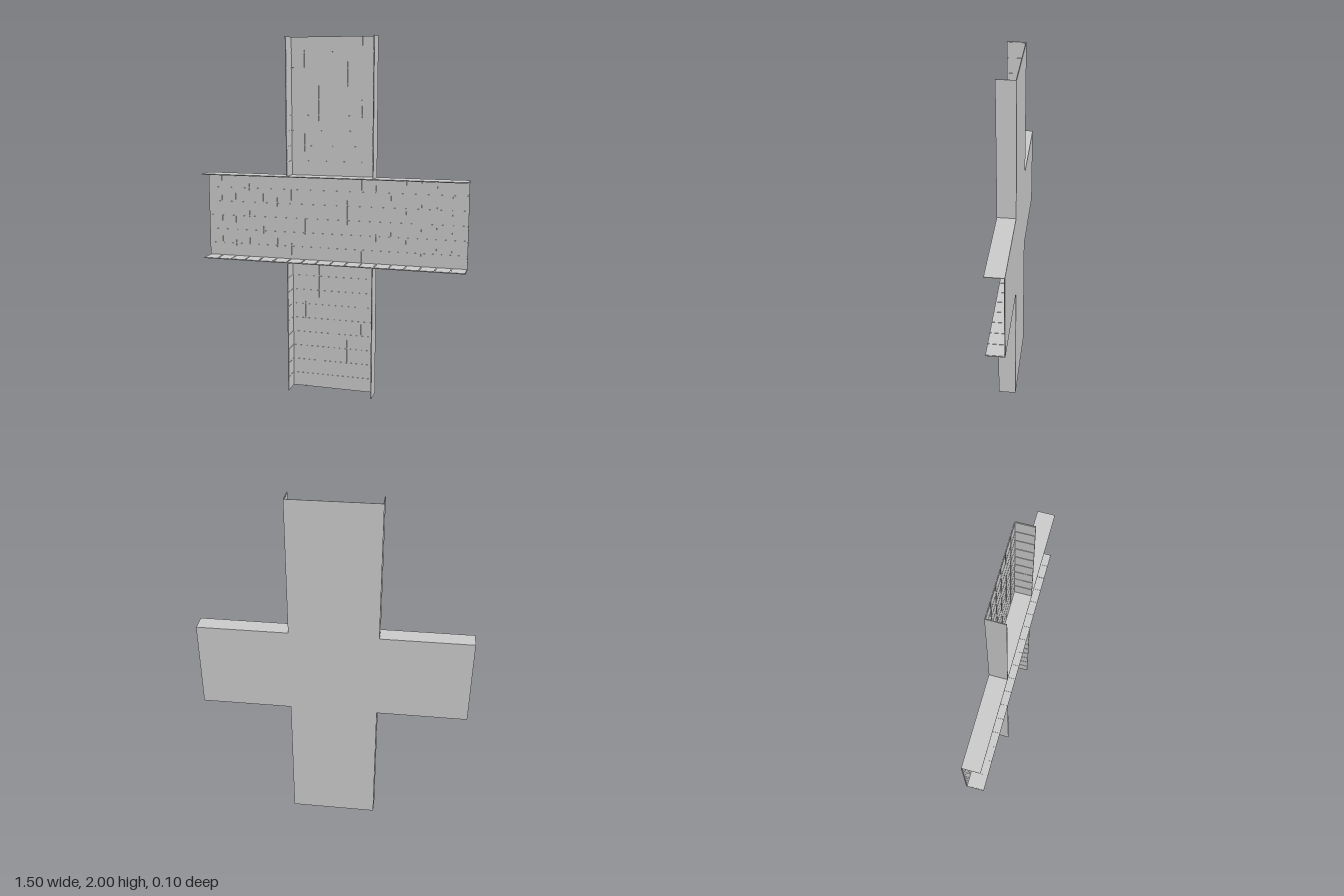
import * as THREE from 'three';
import { mergeGeometries } from 'three/addons/utils/BufferGeometryUtils.js';

const HALF = 0.245;   // half width of each arm
const BACK = -0.05, FRONT = 0.05;
const SHEET = 0.003, TILE = 0.002, GAP = 0.006;

export function createModel() {
  const group = new THREE.Group();
  const material = new THREE.MeshStandardMaterial({ color: 0xcccccc });

  // Box geometry from its minimum and maximum corners
  const block = (x0, y0, z0, x1, y1, z1) =>
    new THREE.BoxGeometry(x1 - x0, y1 - y0, z1 - z0)
      .translate((x0 + x1) / 2, (y0 + y1) / 2, (z0 + z1) / 2);
  const add = (name, geometry) => {
    const mesh = new THREE.Mesh(geometry, material);
    mesh.name = name;
    group.add(mesh);
  };

  // Grid of thin tiles on the front of the back plate
  const z0 = BACK + SHEET, z1 = z0 + TILE, g = GAP / 2;
  const tileGrid = (x0, x1, nx, y0, y1, ny) => {
    const tiles = [], w = (x1 - x0) / nx, h = (y1 - y0) / ny;
    for (let i = 0; i < nx; i++) for (let j = 0; j < ny; j++) {
      const x = x0 + i * w, y = y0 + j * h;
      tiles.push(block(x + g, y + g, z0, x + w - g, y + h - g, z1));
    }
    return mergeGeometries(tiles);
  };

  // Cross-shaped back plate
  const low = 1 - HALF, high = 1 + HALF;
  const outline = [
    [-HALF, 0], [HALF, 0], [HALF, low], [0.75, low], [0.75, high], [HALF, high],
    [HALF, 2], [-HALF, 2], [-HALF, high], [-0.75, high], [-0.75, low], [-HALF, low],
  ].map(([x, y]) => new THREE.Vector2(x, y));
  add('backPlate', new THREE.ExtrudeGeometry(new THREE.Shape(outline),
    { depth: SHEET, bevelEnabled: false }).translate(0, 0, BACK));

  // Tiled facing of the plate
  add('centreTiles', tileGrid(-HALF, HALF, 6, low, high, 6));
  add('rightArmTiles', tileGrid(-0.75, -HALF, 6, low, high, 6));
  add('leftArmTiles', tileGrid(HALF, 0.75, 6, low, high, 6));
  add('lowerArmTiles', tileGrid(-HALF, HALF, 6, 0, low, 9));
  add('upperArmTiles', tileGrid(-HALF, HALF, 6, high, 2, 9));

  // Flange standing on the plate edge, with a row of tiles on its inner face.
  // Built along x, facing up, then turned into place.
  const flange = (length, count) => {
    const parts = [block(-length / 2, 0, BACK + SHEET, length / 2, SHEET, FRONT)];
    const w = length / count;
    for (let i = 0; i < count; i++) {
      const x = -length / 2 + i * w;
      parts.push(block(x + g, SHEET, z1, x + w - g, SHEET + TILE, FRONT));
    }
    return mergeGeometries(parts);
  };

  // Long flanges run unbroken across the horizontal arms
  add('lowerFlange', flange(1.5, 18).translate(0, low, 0));
  add('upperFlange', flange(1.5, 18).rotateZ(Math.PI).translate(0, high, 0));

  // Side flanges of the vertical arms
  for (const [name, y] of [['lower', low / 2], ['upper', (high + 2) / 2]]) {
    add(name + 'LeftFlange', flange(low, 9).rotateZ(Math.PI / 2).translate(HALF, y, 0));
    add(name + 'RightFlange', flange(low, 9).rotateZ(-Math.PI / 2).translate(-HALF, y, 0));
  }
  return group;
}
